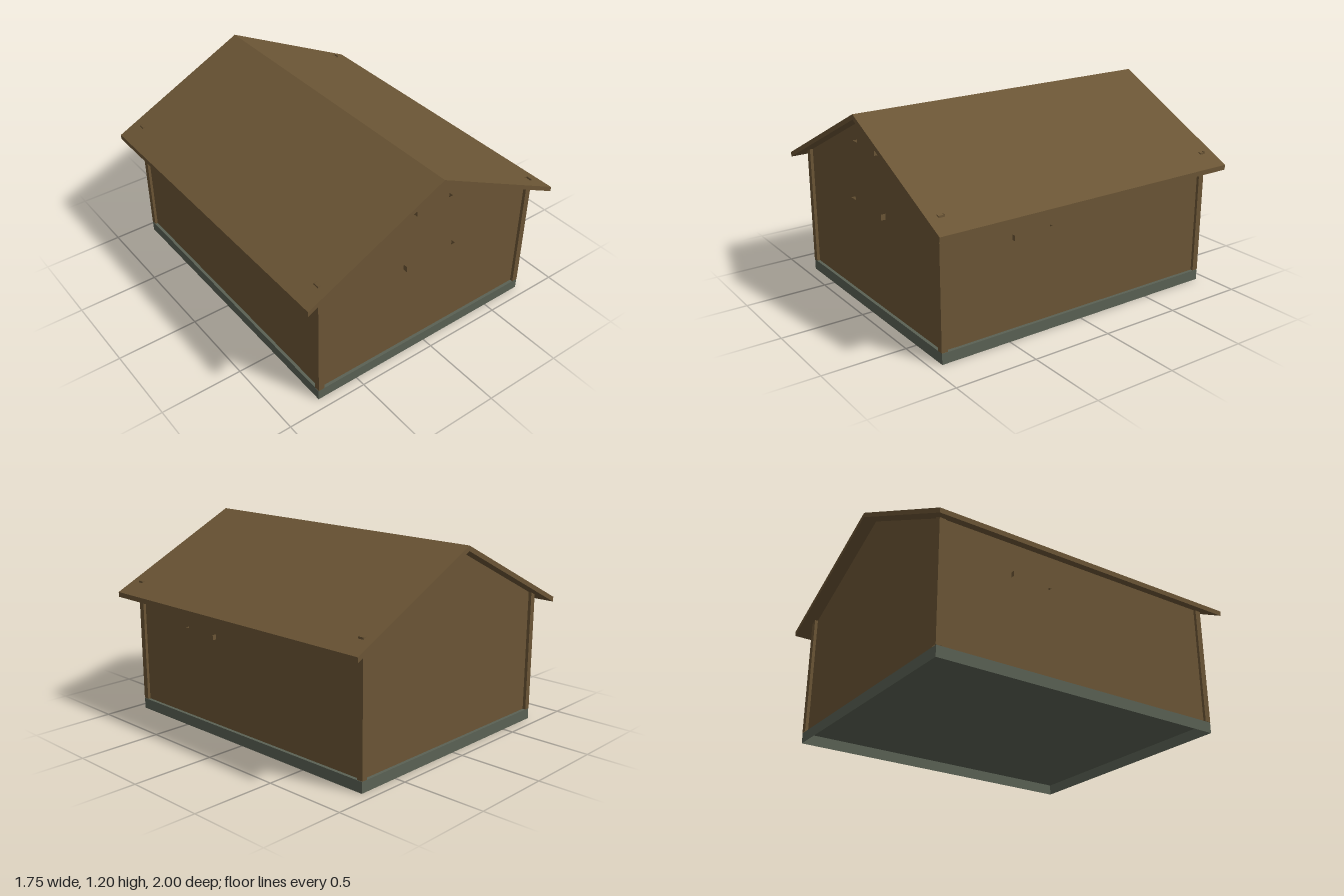
import * as THREE from 'three';

export function createModel() {
  const model = new THREE.Group();
  model.name = 'cabin';
  const wood = new THREE.MeshStandardMaterial({ color: 0x6b5535, side: THREE.DoubleSide });
  wood.name = 'brown wood';
  const stone = new THREE.MeshStandardMaterial({ color: 0x5a6154, side: THREE.DoubleSide });
  stone.name = 'grey green stone';

  const add = (name, geometry, material, x = 0, y = 0, z = 0) => {
    const mesh = new THREE.Mesh(geometry, material);
    mesh.name = name;
    mesh.position.set(x, y, z);
    model.add(mesh);
  };
  // Hollow box; the listed faces are left out (2 = top, 3 = bottom)
  const openBox = (name, w, h, d, x, y, z, open, material = wood) => {
    const geometry = new THREE.BoxGeometry(w, h, d);
    const index = Array.from(geometry.index.array);
    geometry.setIndex(index.filter((_, i) => !open.includes(Math.floor(i / 6))));
    geometry.clearGroups();
    add(name, geometry, material, x, y, z);
  };
  // Front outline extruded along z, centred on z = 0
  const prism = (name, points, depth) => {
    const shape = new THREE.Shape(points.map(([x, y]) => new THREE.Vector2(x, y)));
    const geometry = new THREE.ExtrudeGeometry(shape, { depth, bevelEnabled: false });
    add(name, geometry.translate(0, 0, -depth / 2), wood);
  };

  // Roof line: height of the underside at a given distance from the ridge
  const ridge = 1.195, thickness = 0.03, slope = 0.491, eave = 0.873;
  const under = (x) => ridge - thickness - slope * Math.abs(x);

  // Foundation: floor slab with a skirt, open underneath
  openBox('foundation', 1.53, 0.065, 1.87, 0, 0.0325, 0, [3], stone);

  // Walls with gables, just clear of the floor
  const wallX = 0.748, wallZ = 0.918;
  prism('walls', [[-wallX, 0.067], [wallX, 0.067], [wallX, under(wallX)],
    [0, under(0)], [-wallX, under(wallX)]], 2 * wallZ);

  // The floor must show from below, so the wall prism sits above it.
  // Roof of two sloping slabs with upright eave edges
  prism('roof', [[0, ridge], [-eave, ridge - slope * eave], [-eave, under(eave)],
    [0, under(0)], [eave, under(eave)], [eave, ridge - slope * eave]], 2);

  // Hollow corner posts, their tips just showing through the roof
  for (const sx of [-1, 1]) {
    for (const sz of [-1, 1]) {
      openBox('cornerPost', 0.037, 0.764, 0.037, sx * 0.7465, 0.449, sz * 0.9185, [2, 3]);
    }
  }

  // Hollow rails on the front gable
  openBox('frontRail', 0.35, 0.035, 0.04, 0, 0.641, 0.926, [2, 3]);
  openBox('gableRail', 0.25, 0.028, 0.04, 0, 0.9955, 0.925, [2, 3]);

  // Hollow rails on the side walls, placed diagonally opposite
  for (const s of [-1, 1]) {
    openBox('sideRail', 0.035, 0.031, 0.25, s * 0.7535, 0.6045, s * 0.348, [2, 3]);
  }

  return model;
}
